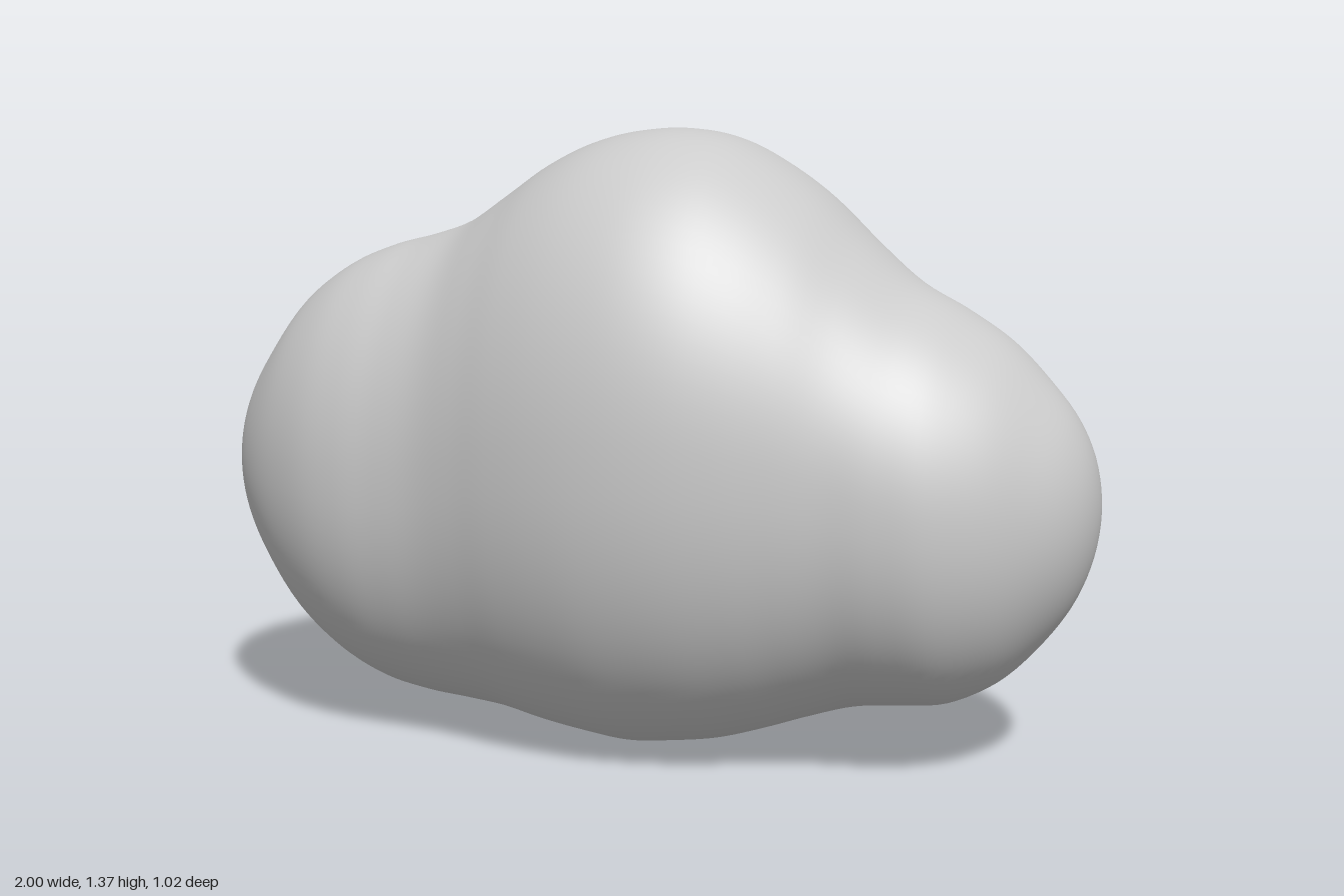
import * as THREE from 'three';
import { mergeVertices } from 'three/addons/utils/BufferGeometryUtils.js';

// Cross-sections from right to left: x, centre height, half height, half depth
const SECTIONS = [
  [-1, 0.6, 0, 0], [-0.986, 0.6, 0.105, 0.087], [-0.946, 0.6, 0.203, 0.165], [-0.88, 0.6, 0.298, 0.24],
  [-0.8, 0.6, 0.395, 0.3], [-0.7, 0.598, 0.467, 0.35], [-0.6, 0.595, 0.51, 0.375], [-0.5, 0.597, 0.533, 0.385],
  [-0.4, 0.61, 0.555, 0.4], [-0.3, 0.637, 0.592, 0.43], [-0.2, 0.66, 0.635, 0.465], [-0.1, 0.675, 0.665, 0.492],
  [0, 0.681, 0.681, 0.508], [0.1, 0.687, 0.678, 0.511], [0.2, 0.685, 0.66, 0.5], [0.3, 0.675, 0.62, 0.475],
  [0.4, 0.657, 0.567, 0.44], [0.5, 0.625, 0.505, 0.405], [0.6, 0.588, 0.457, 0.385], [0.7, 0.567, 0.423, 0.36],
  [0.8, 0.56, 0.365, 0.305], [0.88, 0.56, 0.287, 0.237], [0.946, 0.565, 0.2, 0.165], [0.986, 0.57, 0.105, 0.087],
  [1, 0.57, 0, 0],
];

const signedPow = (v, p) => Math.sign(v) * Math.abs(v) ** p;

function createBody() {
  // Mirrored sections past both tips keep the ends round
  const flip = ([x, y, h, d]) => [x, y, -h, -d];
  const rows = [flip(SECTIONS[1]), ...SECTIONS, flip(SECTIONS.at(-2))];
  const curve = (pick) => new THREE.CatmullRomCurve3(rows.map(pick), false, 'catmullrom', 0.5);
  const heights = curve(([x, y, h]) => new THREE.Vector3(x, y, h));
  const depths = curve(([x, , , d]) => new THREE.Vector3(x, d, 0));

  const steps = (SECTIONS.length - 1) * 5;
  const around = 96;
  const positions = [];
  const indices = [];
  for (let i = 0; i <= steps; i++) {
    const t = (1 + i / 5) / (rows.length - 1);
    const { x, y, z: halfHeight } = heights.getPoint(t);
    const halfDepth = depths.getPoint(t).y;
    // Sections are slightly squarer than ellipses around the middle
    const power = 2 / (2 + 0.17 * Math.max(0, 1 - x * x));
    for (let j = 0; j <= around; j++) {
      const a = (j % around) / around * Math.PI * 2;
      positions.push(x, y + halfHeight * signedPow(Math.sin(a), power), halfDepth * signedPow(Math.cos(a), power));
      if (i < steps && j < around) {
        const p = i * (around + 1) + j;
        const q = p + around + 1;
        indices.push(p, q, q + 1, p, q + 1, p + 1);
      }
    }
  }
  const geometry = new THREE.BufferGeometry();
  geometry.setAttribute('position', new THREE.Float32BufferAttribute(positions, 3));
  geometry.setIndex(indices);
  const merged = mergeVertices(geometry, 1e-5);
  merged.computeVertexNormals();
  return merged;
}

export function createModel() {
  const model = new THREE.Group();
  model.name = 'cloud';
  const body = new THREE.Mesh(createBody(), new THREE.MeshStandardMaterial({ color: 0xcccccc }));
  body.name = 'cloudBody';
  model.add(body);
  return model;
}
